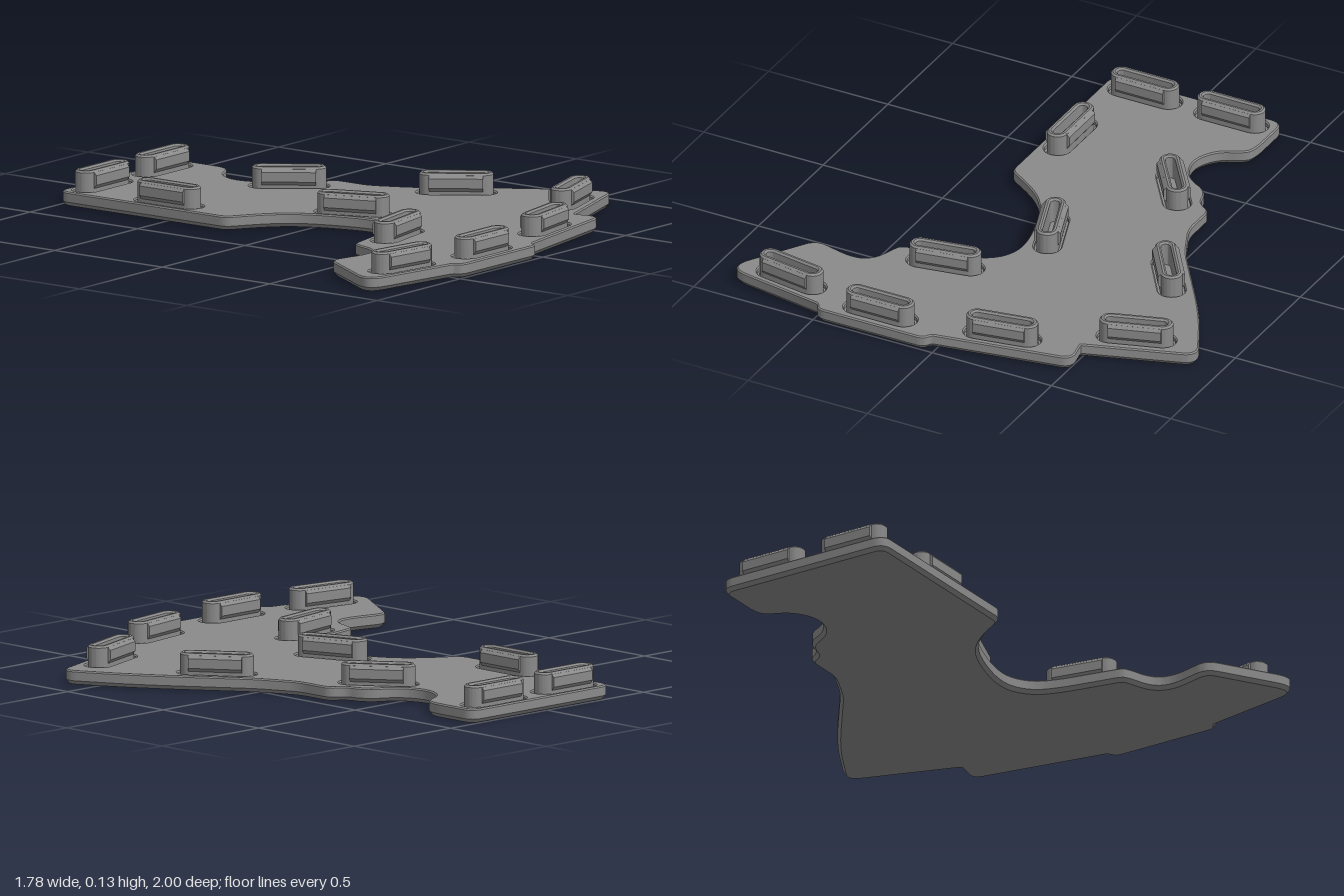
import * as THREE from 'three';
import { toCreasedNormals } from 'three/addons/utils/BufferGeometryUtils.js';

const TOP = 0.053, LUG_TOP = 0.13, MOAT_FLOOR = 0.035;

// Plate outline as [x, z, corner radius]; no radius means a flowing curve.
const OUTLINE = [
  [-0.33, -1, 0.05], [0.387, -1, 0.05], [0.387, -0.77, 0.07], [0.345, -0.735], [0.285, -0.71],
  [0.245, -0.66], [0.227, -0.595], [0.25, -0.515], [0.3, -0.468], [0.35, -0.445], [0.382, -0.4],
  [0.392, -0.345], [0.45, -0.31, 0.03], [0.45, -0.155, 0.04], [0.52, 0, 0.05],
  [0.733, 0.3, 0.08], [0.81, 0.425, 0.05], [0.913, 0.625, 0.065], [0.495, 0.765, 0.005],
  [0.516, 0.87, 0.05], [-0.02, 0.965, 0.01], [-0.04, 1, 0.03], [-0.48, 1, 0.03],
  [-0.5, 0.965, 0.01], [-0.925, 0.892, 0.1], [-0.72, 0.565, 0.05], [-0.54, 0.61, 0.07],
  [-0.47, 0.575], [-0.44, 0.47], [-0.42, 0.45, 0.03], [-0.18, 0.405, 0.08], [-0.09, 0.37],
  [-0.04, 0.3], [-0.034, 0.21], [-0.065, 0.08], [-0.11, -0.04], [-0.185, -0.13],
  [-0.33, -0.222, 0.03],
];

// Lugs as [x, z, angle in degrees from x towards z].
const LUGS = [
  [-0.155, -0.93, 0], [0.207, -0.93, 0], [-0.257, -0.54, 90], [0.262, -0.382, 54],
  [0.015, 0.108, 70], [0.545, 0.178, 55], [0.653, 0.625, -18], [-0.22, 0.492, -10],
  [-0.667, 0.857, 9], [-0.262, 0.917, 0], [0.21, 0.845, -10],
];

const material = new THREE.MeshStandardMaterial({ color: 0x8a8a8a });

function mesh(name, geometry) {
  const m = new THREE.Mesh(toCreasedNormals(geometry, 0.5), material);
  m.name = name;
  return m;
}

// Polygon with rounded corners.
function roundedShape(points) {
  const shape = new THREE.Shape();
  const n = points.length;
  const P = points.map(([x, z]) => new THREE.Vector2(x, z));
  const towards = (a, b, r) => a.clone().lerp(b, Math.min(0.5, r / a.distanceTo(b)));
  for (let i = 0; i < n; i++) {
    const r = points[i][2] ?? 1;
    const a = towards(P[i], P[(i + n - 1) % n], r);
    const b = towards(P[i], P[(i + 1) % n], r);
    if (i === 0) shape.moveTo(a.x, a.y);
    else if (shape.currentPoint.distanceTo(a) > 1e-5) shape.lineTo(a.x, a.y);
    shape.quadraticCurveTo(P[i].x, P[i].y, b.x, b.y);
  }
  return shape;
}

// Round-ended slot outline.
function stadium(path, length, width, x = 0, z = 0, angle = 0) {
  const h = (length - width) / 2, q = Math.PI / 2;
  const dx = h * Math.cos(angle), dz = h * Math.sin(angle);
  path.absarc(x + dx, z + dz, width / 2, angle - q, angle + q, false);
  path.absarc(x - dx, z - dz, width / 2, angle + q, angle + 3 * q, false);
  path.closePath();
  return path;
}

// Extrude a plan shape (x, z) between two heights, with chamfered edges.
function slab(shape, y0, y1, bevel, inset = bevel) {
  return new THREE.ExtrudeGeometry(shape, {
    depth: y1 - y0 - 2 * bevel, curveSegments: 10,
    bevelThickness: bevel, bevelSize: inset, bevelOffset: -inset, bevelSegments: 1,
  }).rotateX(Math.PI / 2).translate(0, y1 - bevel, 0);
}

// Slotted stud with a snap ridge along each long side.
function createLug() {
  const lug = new THREE.Group();
  const ring = stadium(new THREE.Shape(), 0.275, 0.08);
  ring.holes.push(stadium(new THREE.Path(), 0.23, 0.036));
  lug.add(mesh('lugWall', slab(ring, MOAT_FLOOR - 0.01, LUG_TOP, 0.007)));

  const ridge = new THREE.Shape([
    [0.03, 0.06], [0.038, 0.06], [0.05, 0.076], [0.05, 0.112], [0.036, 0.127], [0.03, 0.127],
  ].map(([z, y]) => new THREE.Vector2(z, y)));
  const length = 0.2;
  for (const side of [0, Math.PI]) {
    const g = new THREE.ExtrudeGeometry(ridge, { depth: length, bevelEnabled: false })
      .translate(0, 0, -length / 2).rotateY(-Math.PI / 2 + side);
    lug.add(mesh('snapRidge', g));
  }
  return lug;
}

export function createModel() {
  const model = new THREE.Group();
  model.name = 'studdedPlate';

  // Lower plate with chamfered underside; its top forms the moat floors
  model.add(mesh('plateBase', slab(roundedShape(OUTLINE), 0, MOAT_FLOOR, 0.015, 0.012)));

  // Upper plate with a fine chamfer, pierced by a moat around every lug
  const top = roundedShape(OUTLINE);
  for (const [x, z, deg] of LUGS) {
    top.holes.push(stadium(new THREE.Path(), 0.294, 0.1, x, z, THREE.MathUtils.degToRad(deg)));
  }
  model.add(mesh('plateTop', slab(top, 0.014, TOP, 0.005)));

  // Lugs
  for (const [x, z, deg] of LUGS) {
    const lug = createLug();
    lug.name = 'lug';
    lug.position.set(x, 0, z);
    lug.rotation.y = -THREE.MathUtils.degToRad(deg);
    model.add(lug);
  }
  return model;
}
